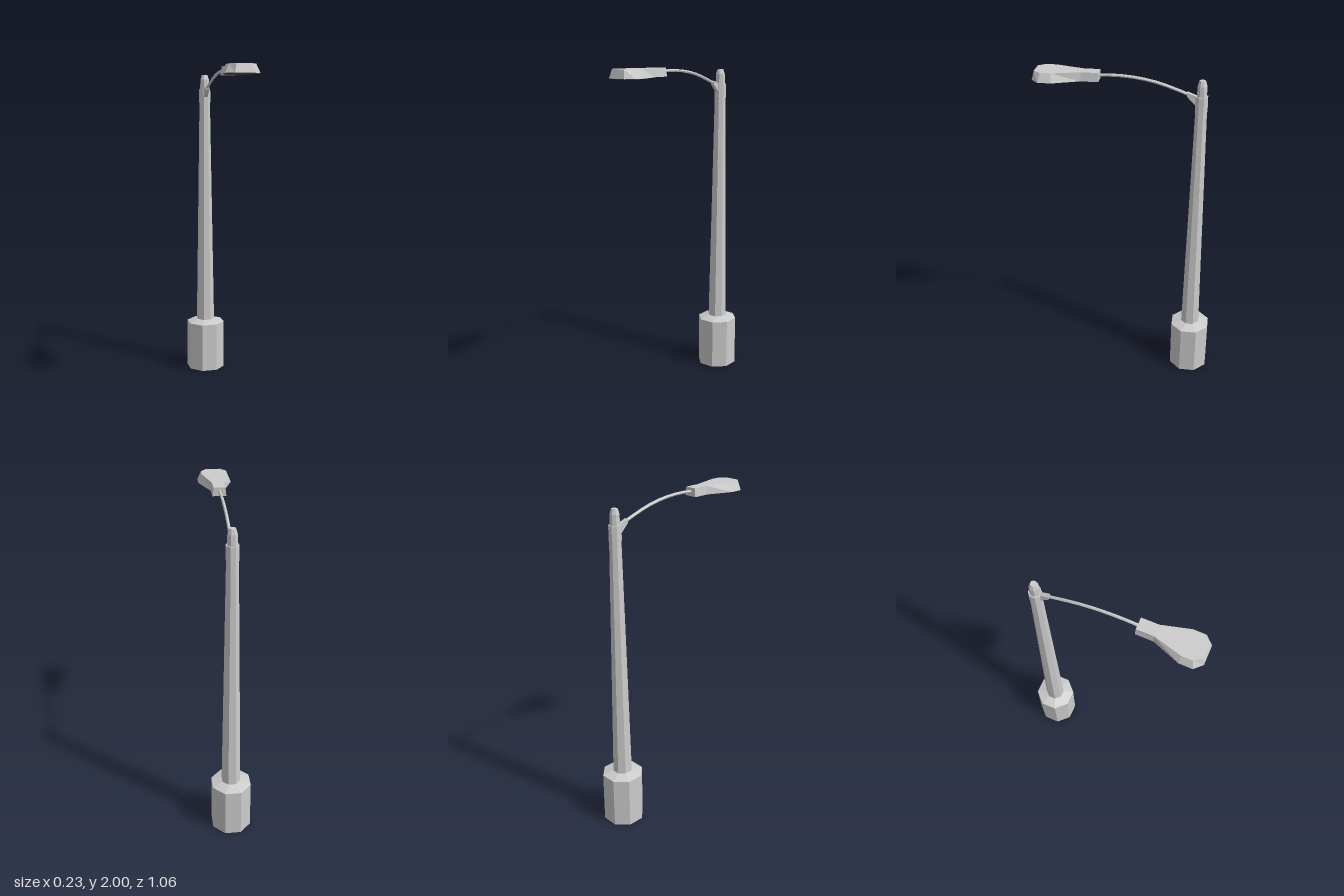
import * as THREE from 'three';

const grey = new THREE.MeshStandardMaterial({ color: 0xcccccc, flatShading: true });
const dark = new THREE.MeshStandardMaterial({ color: 0x555555, flatShading: true });
const POLE_Z = -0.415;

function addMesh(group, name, geometry, material = grey) {
  const mesh = new THREE.Mesh(geometry, material);
  mesh.name = name;
  group.add(mesh);
  return mesh;
}

// Octagonal turned part; profile is [flat-to-centre distance, y] from bottom to top
function octagon(profile) {
  const pts = profile.map(([r, y]) => new THREE.Vector2(r / Math.cos(Math.PI / 8), y));
  return new THREE.LatheGeometry(pts, 8, Math.PI / 8).translate(0, 0, POLE_Z);
}

// Capped skin over rings running toward +z, each anticlockwise seen from +z
function loft(rings) {
  const pos = [];
  const tri = (...p) => p.forEach((v) => pos.push(...v));
  const n = rings[0].length;
  for (let i = 0; i < rings.length - 1; i++) {
    for (let j = 0; j < n; j++) {
      const k = (j + 1) % n;
      const [a, b, c, d] = [rings[i][j], rings[i][k], rings[i + 1][k], rings[i + 1][j]];
      tri(a, b, c);
      tri(a, c, d);
    }
  }
  const first = rings[0], last = rings[rings.length - 1];
  for (let j = 1; j < n - 1; j++) {
    tri(first[0], first[j + 1], first[j]);
    tri(last[0], last[j], last[j + 1]);
  }
  const g = new THREE.BufferGeometry();
  g.setAttribute('position', new THREE.Float32BufferAttribute(pos, 3));
  g.computeVertexNormals();
  return g;
}

// Four-cornered ring whose bottom and top edges have their own width, height and depth
const ring = (wb, yb, zb, wt, yt, zt) => [[-wb, yb, zb], [wb, yb, zb], [wt, yt, zt], [-wt, yt, zt]];

export function createModel() {
  const model = new THREE.Group();
  model.name = 'streetLamp';

  // Pedestal, tapered pole, collar and cap
  addMesh(model, 'base', octagon([[0, 0], [0.117, 0], [0.117, 0.32], [0.055, 0.34], [0, 0.34]]));
  addMesh(model, 'pole', octagon([[0.055, 0.34], [0.032, 1.81]]));
  addMesh(model, 'collar', octagon([[0.03, 1.8], [0.035, 1.8], [0.034, 1.885], [0.027, 1.885]]));
  addMesh(model, 'poleCap', octagon([[0.028, 1.88], [0.026, 1.945], [0.017, 1.975], [0, 1.975]]));

  // Wedge bracket holding the arm
  addMesh(model, 'bracket', loft([
    ring(0.012, 1.825, -0.39, 0.012, 1.883, -0.39),
    ring(0.012, 1.882, -0.333, 0.012, 1.906, -0.333),
  ]));

  // Curved arm
  const path = new THREE.CatmullRomCurve3([
    [1.888, -0.35], [1.925, -0.25], [1.955, -0.15], [1.974, -0.04], [1.981, 0.07], [1.976, 0.17],
  ].map(([y, z]) => new THREE.Vector3(0, y, z)));
  addMesh(model, 'arm', new THREE.TubeGeometry(path, 8, 0.009, 6));

  // Lamp head: [bottom z, bottom half width, top z, top half width]
  const sections = [
    [0.158, 0.04, 0.158, 0.034],
    [0.257, 0.04, 0.255, 0.034],
    [0.412, 0.098, 0.415, 0.077],
    [0.488, 0.098, 0.476, 0.077],
    [0.53, 0.056, 0.518, 0.045],
  ];
  addMesh(model, 'lampHead', loft(sections.map(([zb, wb, zt, wt]) => ring(wb, 1.95, zb, wt, 2, zt))));

  // Dark lens under the wide part of the head
  const lens = sections.slice(1).map(([z, w], i) => {
    const zi = z + (i === 0 ? 0.006 : i === 3 ? -0.006 : 0);
    return ring(w - 0.005, 1.948, zi, w - 0.005, 1.951, zi);
  });
  addMesh(model, 'lens', loft(lens), dark);

  return model;
}
